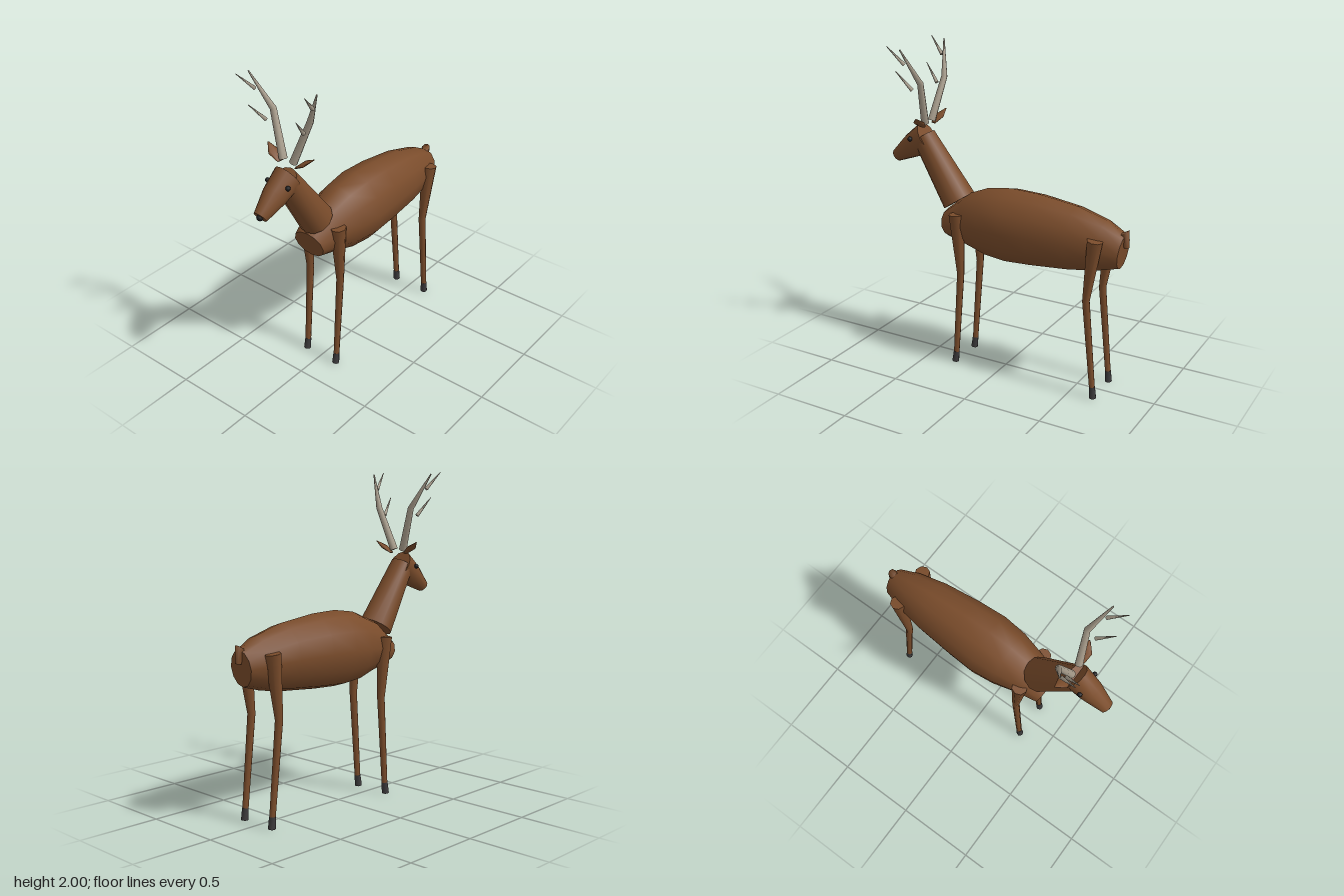
import * as THREE from 'three';

const paint = (name, color) => {
  const m = new THREE.MeshStandardMaterial({ color });
  m.name = name;
  return m;
};

// Smooth skin through elliptical rings [x, y, z, radiusU, radiusV], with flat end caps.
function loft(name, rings, sides, material) {
  const pts = rings.map(r => new THREE.Vector3(r[0], r[1], r[2]));
  const last = pts.length - 1;
  const axis = pts[last].clone().sub(pts[0]).normalize();
  const ref = Math.abs(axis.y) > 0.88 ? new THREE.Vector3(0, 0, 1) : new THREE.Vector3(0, 1, 0);
  const pos = [], idx = [];
  rings.forEach(([, , , ru, rv = ru], k) => {
    const t = pts[Math.min(k + 1, last)].clone().sub(pts[Math.max(k - 1, 0)]).normalize();
    const u = ref.clone().cross(t).normalize();
    const v = t.clone().cross(u);
    for (let i = 0; i < sides; i++) {
      const a = (i / sides) * Math.PI * 2;
      const p = pts[k].clone().addScaledVector(u, ru * Math.cos(a)).addScaledVector(v, rv * Math.sin(a));
      pos.push(p.x, p.y, p.z);
    }
  });
  for (let k = 0; k < last; k++) {
    for (let i = 0; i < sides; i++) {
      const j = (i + 1) % sides;
      const a = k * sides + i, b = k * sides + j, c = b + sides, d = a + sides;
      idx.push(a, b, c, a, c, d);
    }
  }
  // Caps use their own vertices so the rim stays sharp
  for (const k of [0, last]) {
    const start = pos.length / 3;
    pos.push(...pos.slice(k * sides * 3, (k + 1) * sides * 3), pts[k].x, pts[k].y, pts[k].z);
    for (let i = 0; i < sides; i++) {
      const a = start + i, b = start + (i + 1) % sides, c = start + sides;
      if (k === 0) idx.push(c, b, a);
      else idx.push(c, a, b);
    }
  }
  const g = new THREE.BufferGeometry();
  g.setAttribute('position', new THREE.Float32BufferAttribute(pos, 3));
  g.setIndex(idx);
  g.computeVertexNormals();
  const mesh = new THREE.Mesh(g, material);
  mesh.name = name;
  return mesh;
}

function ball(name, x, y, z, r, material) {
  const mesh = new THREE.Mesh(new THREE.SphereGeometry(r, 8, 6), material);
  mesh.position.set(x, y, z);
  mesh.name = name;
  return mesh;
}

export function createModel() {
  const coat = paint('brown coat', 0x7a4c2b);
  const horn = paint('grey antler', 0xa89d8c);
  const hoofMat = paint('dark hoof', 0x3c3a3b);
  const dark = paint('black eye', 0x1c1c1e);
  const model = new THREE.Group();
  model.name = 'deer';

  // Barrel-shaped body from chest to rump
  model.add(loft('body', [
    [0, 0.895, 0.393, 0.108, 0.086],
    [0, 0.932, 0.24, 0.145, 0.167],
    [0, 0.945, 0.11, 0.178, 0.212],
    [0, 0.95, -0.04, 0.195, 0.23],
    [0, 0.951, -0.22, 0.184, 0.223],
    [0, 0.945, -0.46, 0.16, 0.197],
    [0, 0.932, -0.64, 0.125, 0.158],
    [0, 0.916, -0.765, 0.085, 0.106],
  ], 12, coat));

  // Neck and tapered head
  model.add(loft('neck', [[0, 1.045, 0.33, 0.105], [0, 1.42, 0.579, 0.073]], 12, coat));
  model.add(loft('head', [
    [0, 1.42, 0.552, 0.08, 0.096],
    [0, 1.35, 0.662, 0.071, 0.077],
    [0, 1.272, 0.78, 0.042, 0.04],
  ], 12, coat));
  model.add(ball('nose', 0, 1.272, 0.782, 0.02, dark));

  // Short bent tail
  model.add(loft('tail', [
    [0, 1.005, -0.745, 0.022],
    [0, 1.035, -0.774, 0.028],
    [0, 0.945, -0.785, 0.017],
  ], 8, coat));

  for (const s of [1, -1]) {
    const side = s > 0 ? 'left' : 'right';
    model.add(ball(side + 'Eye', s * 0.073, 1.41, 0.633, 0.015, dark));

    // Leaf-shaped ear
    model.add(loft(side + 'Ear', [
      [s * 0.058, 1.495, 0.545, 0.018, 0.005],
      [s * 0.11, 1.53, 0.535, 0.037, 0.013],
      [s * 0.165, 1.567, 0.52, 0.004, 0.002],
    ], 8, coat));

    // Antler beam with two forward tines
    const antler = new THREE.Group();
    antler.name = side + 'Antler';
    antler.add(loft('beam', [
      [s * 0.036, 1.515, 0.543, 0.024],
      [s * 0.13, 1.775, 0.505, 0.019],
      [s * 0.235, 1.985, 0.57, 0.004],
    ], 8, horn));
    antler.add(loft('lowerTine', [[s * 0.133, 1.73, 0.562, 0.012], [s * 0.165, 1.84, 0.655, 0.002]], 6, horn));
    antler.add(loft('upperTine', [[s * 0.2, 1.893, 0.565, 0.012], [s * 0.235, 1.998, 0.662, 0.002]], 6, horn));
    model.add(antler);

    // Legs: z at shoulder, knee, ankle and sole
    for (const [kind, top, knee, ankle, sole] of [
      ['Front', 0.275, 0.254, 0.294, 0.303],
      ['Hind', -0.642, -0.595, -0.65, -0.656],
    ]) {
      const leg = new THREE.Group();
      leg.name = side + kind + 'Leg';
      leg.add(loft('limb', [
        [s * 0.122, 1.0, top, 0.048],
        [s * 0.117, 0.62, knee, 0.023],
        [s * 0.116, 0.07, ankle, 0.018],
      ], 8, coat));
      leg.add(loft('hoof', [
        [s * 0.116, 0.076, ankle, 0.019],
        [s * 0.116, 0.005, sole, 0.022],
      ], 8, hoofMat));
      model.add(leg);
    }
  }
  return model;
}
